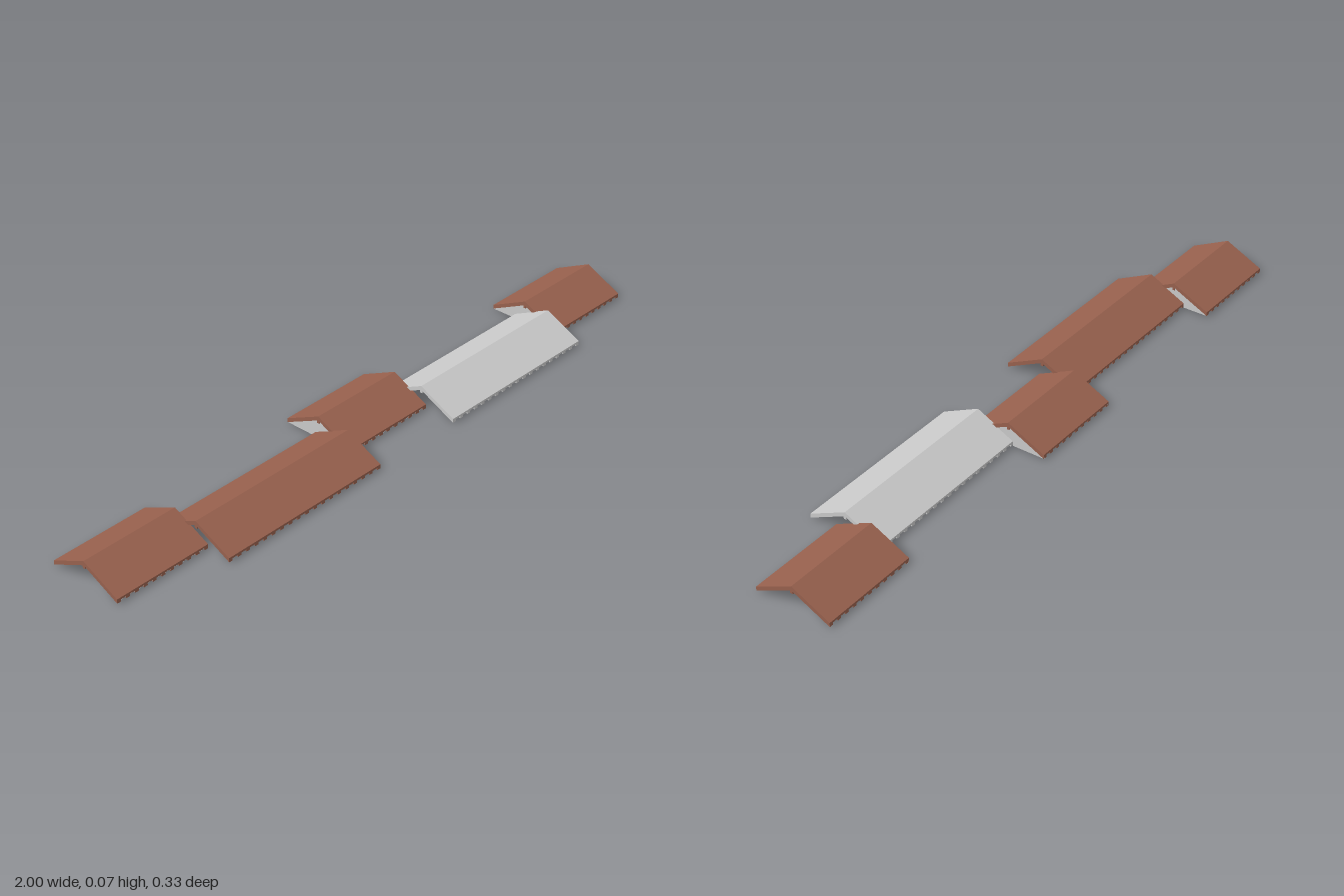
import * as THREE from 'three';
import { mergeGeometries } from 'three/addons/utils/BufferGeometryUtils.js';

const HALF = 0.116;      // ridge to eave, horizontally
const RIDGE = 0.071;     // ridge height
const EAVE = 0.0145;     // top of the eave
const DECK = 0.006;      // vertical thickness of the deck
const TOTAL = 0.0125;    // deck plus rafter
const SLOPE = (RIDGE - EAVE) / HALF;

const grey = new THREE.MeshStandardMaterial({ color: 0xcccccc, flatShading: true });
const brown = new THREE.MeshStandardMaterial({ color: 0x98614e, flatShading: true });
const wallGrey = new THREE.MeshStandardMaterial({ color: 0xcccccc, side: THREE.DoubleSide });

// Extrude a (z, y) outline along x from x0 to x1
function extrudeX(points, x0, x1) {
  const shape = new THREE.Shape(points.map(([z, y]) => new THREE.Vector2(z, y)));
  const g = new THREE.ExtrudeGeometry(shape, { depth: x1 - x0, bevelEnabled: false });
  return g.rotateY(-Math.PI / 2).translate(x1, 0, 0);
}

// Inverted V band lying between two depths below the roof surface
function chevron(ridgeZ, top, bottom) {
  return [
    [ridgeZ - HALF, EAVE - bottom], [ridgeZ, RIDGE - bottom], [ridgeZ + HALF, EAVE - bottom],
    [ridgeZ + HALF, EAVE - top], [ridgeZ, RIDGE - top], [ridgeZ - HALF, EAVE - top],
  ];
}

function add(parent, name, geometry, material) {
  const mesh = new THREE.Mesh(geometry, material);
  mesh.name = name;
  parent.add(mesh);
}

function makeRoof({ name, x0, x1, z, material }) {
  const roof = new THREE.Group();
  roof.name = name;
  add(roof, 'roofDeck', extrudeX(chevron(z, 0, DECK), x0, x1), material);

  // Evenly spaced rafters, flush with both ends
  const width = 0.012;
  const count = Math.round((x1 - x0) / 0.031);
  const rafters = [];
  for (let i = 0; i <= count; i++) {
    const x = x0 + (x1 - x0 - width) * i / count;
    rafters.push(extrudeX(chevron(z, DECK, TOTAL), x, x + width));
  }
  add(roof, 'rafters', mergeGeometries(rafters), material);

  // Ridge beam hanging under the rafters
  const beam = new THREE.BoxGeometry(x1 - x0, 0.014, 0.008);
  add(roof, 'ridgeBeam', beam.translate((x0 + x1) / 2, 0.056, z), material);
  return roof;
}

// Wall closing the part of a gable that stands behind the neighbouring roof
function makeGable(x, z, neighbourZ) {
  const crossZ = (z + neighbourZ) / 2;
  const crossY = RIDGE - DECK - SLOPE * (neighbourZ - crossZ);
  return extrudeX([
    [neighbourZ - HALF, 0], [z - HALF, 0], [z - HALF, EAVE - DECK],
    [z, RIDGE - DECK], [crossZ, crossY], [neighbourZ - HALF, EAVE - DECK],
  ], x - 0.001, x + 0.001);
}

// Triangular lining under half of the front slope
function makeLining({ x0, x1, z }) {
  const d = DECK + 0.0004;
  const g = new THREE.BufferGeometry().setFromPoints([
    new THREE.Vector3(x1, RIDGE - d, z),
    new THREE.Vector3(x1, EAVE - d, z + HALF),
    new THREE.Vector3(x0, EAVE - d, z + HALF),
  ]);
  g.computeVertexNormals();
  return g;
}

export function createModel() {
  const model = new THREE.Group();
  model.name = 'roofRow';
  const frontZ = 0.052, endZ = -0.029, middleZ = -0.051;
  const roofs = [
    { name: 'rightEndRoof', x0: -1, x1: -0.697, z: endZ, material: brown },
    { name: 'rightFrontRoof', x0: -0.703, x1: -0.147, z: frontZ, material: brown },
    { name: 'middleRoof', x0: -0.153, x1: 0.153, z: middleZ, material: brown },
    { name: 'leftFrontRoof', x0: 0.147, x1: 0.703, z: frontZ, material: grey },
    { name: 'leftEndRoof', x0: 0.697, x1: 1, z: endZ, material: brown },
  ];
  for (const r of roofs) model.add(makeRoof(r));

  // Gable walls at every step between neighbouring roofs
  for (const side of [-1, 1]) {
    add(model, 'endGable', makeGable(side * 0.701, endZ, frontZ), wallGrey);
    add(model, 'middleGable', makeGable(side * 0.149, middleZ, frontZ), wallGrey);
  }
  for (const r of [roofs[0], roofs[2]]) add(model, 'slopeLining', makeLining(r), wallGrey);
  return model;
}
